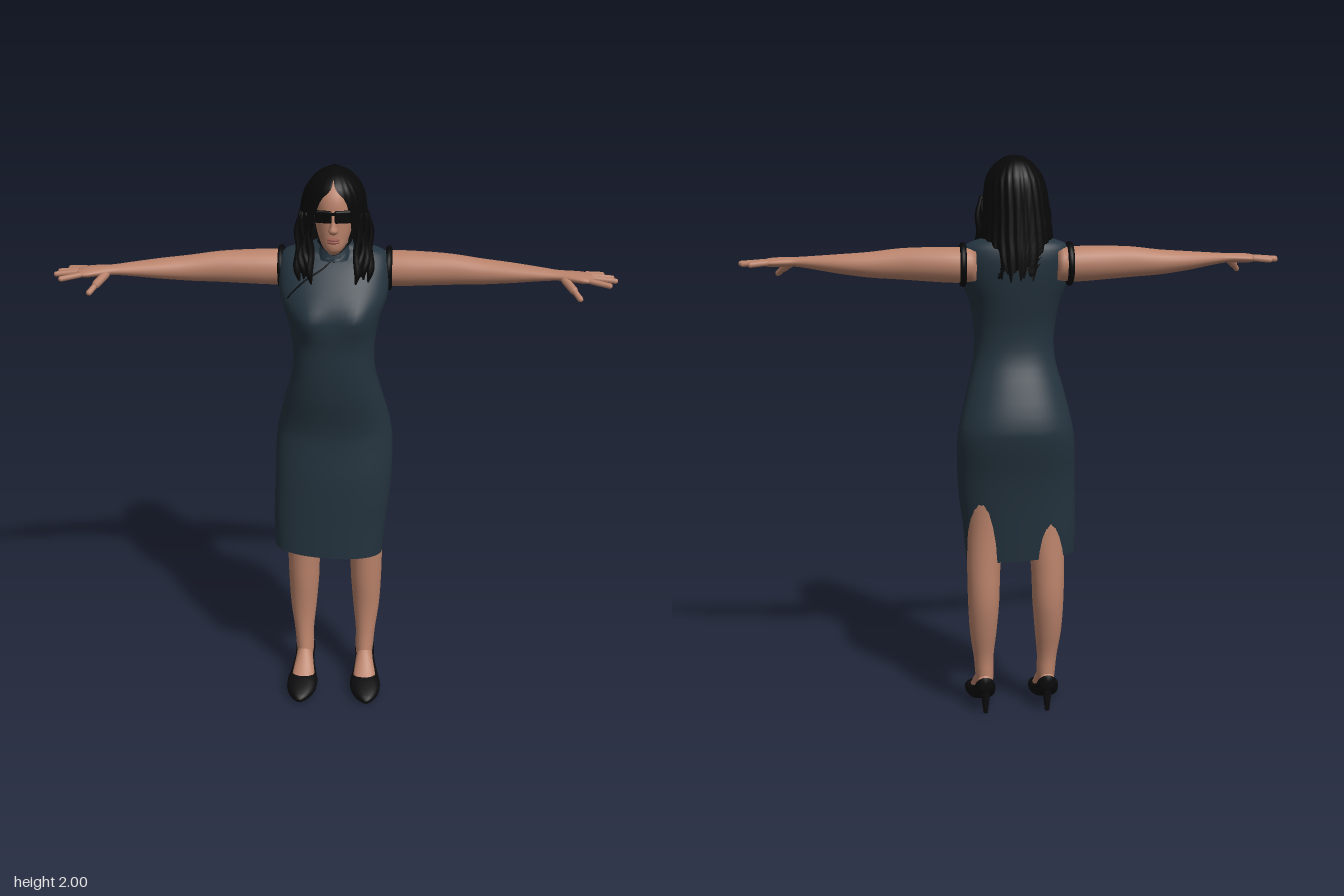
import * as THREE from 'three';
import { mergeVertices } from 'three/addons/utils/BufferGeometryUtils.js';
import { RoundedBoxGeometry } from 'three/addons/geometries/RoundedBoxGeometry.js';

const mat = (name, color, side = THREE.FrontSide) => {
  const m = new THREE.MeshStandardMaterial({ color, side });
  m.name = name;
  return m;
};

// Smoothly interpolates a table of rows by its first column
const smooth = (rows) => {
  const size = rows[0].length - 1;
  const it = new THREE.CubicInterpolant(rows.map((r) => r[0]), rows.flatMap((r) => r.slice(1)), size, new Float32Array(size));
  return (s) => Array.from(it.evaluate(s));
};
const spow = (v, e) => Math.sign(v) * Math.abs(v) ** e;

// Lofts oval sections [y, x0, x1, z0, z1, gap]; the gap opens the ring around angle t0
function loft(rows, { seg = 24, steps = 3, n = 2, t0 = 0, caps = true, bend } = {}) {
  const at = smooth(rows), levels = [], pos = [], idx = [];
  rows.forEach((r, i) => {
    if (i === rows.length - 1) levels.push(r[0]);
    else for (let k = 0; k < steps; k++) levels.push(THREE.MathUtils.lerp(r[0], rows[i + 1][0], k / steps));
  });
  const w = seg + 1;
  levels.forEach((y, i) => {
    const [x0, x1, z0, z1, g = 0] = at(y), gap = Math.max(0, g);
    for (let j = 0; j <= seg; j++) {
      const t = t0 + gap + (2 * Math.PI - 2 * gap) * (j / seg);
      const p = new THREE.Vector3((x0 + x1) / 2 + ((x1 - x0) / 2) * spow(Math.sin(t), 2 / n), y,
        (z0 + z1) / 2 + ((z1 - z0) / 2) * spow(Math.cos(t), 2 / n));
      if (bend) bend(p, t);
      pos.push(p.x, p.y, p.z);
      if (i && j < seg) {
        const a = (i - 1) * w + j, b = i * w + j;
        idx.push(a, a + 1, b + 1, a, b + 1, b);
      }
    }
  });
  if (caps) [0, levels.length - 1].forEach((i) => {
    const [x0, x1, z0, z1] = at(levels[i]), c = pos.length / 3;
    pos.push((x0 + x1) / 2, levels[i], (z0 + z1) / 2);
    for (let j = 0; j < seg; j++) {
      const a = i * w + j;
      i ? idx.push(c, a, a + 1) : idx.push(c, a + 1, a);
    }
  });
  let geo = new THREE.BufferGeometry();
  geo.setAttribute('position', new THREE.Float32BufferAttribute(pos, 3));
  geo.setIndex(idx);
  geo = mergeVertices(geo, 1e-5);
  geo.computeVertexNormals();
  return geo;
}
// Lofts along x from [x, y0, y1, z0, z1] and along z from [z, x0, x1, y0, y1]
const loftX = (rows, o) => loft(rows.map(([x, a, b, c, d]) => [x, -b, -a, c, d]), o).rotateZ(-Math.PI / 2);
const loftZ = (rows, o) => loft(rows.map(([z, a, b, c, d]) => [z, a, b, -d, -c]), o).rotateX(Math.PI / 2);

const V = (a) => new THREE.Vector3(...a);
const tube = (pts, r, closed = false, seg = 32) =>
  new THREE.TubeGeometry(new THREE.CatmullRomCurve3(pts.map(V), closed), seg, r, 8, closed);
function limb(a, b, r) {
  const d = V(b).sub(V(a)), len = d.length();
  const geo = new THREE.CapsuleGeometry(r, Math.max(len - r, 0.001), 4, 8);
  geo.applyQuaternion(new THREE.Quaternion().setFromUnitVectors(new THREE.Vector3(0, 1, 0), d.normalize()));
  return geo.translate((a[0] + b[0]) / 2, (a[1] + b[1]) / 2, (a[2] + b[2]) / 2);
}
function mirrored(geo) {
  const g = geo.clone(), ix = g.index.array;
  for (const key of ['position', 'normal']) {
    const at = g.attributes[key];
    for (let i = 0; i < at.count; i++) at.setX(i, -at.getX(i));
  }
  for (let i = 0; i < ix.length; i += 3) [ix[i + 1], ix[i + 2]] = [ix[i + 2], ix[i + 1]];
  return g;
}

export function createModel() {
  const model = new THREE.Group();
  model.name = 'woman';
  const skin = mat('skin', 0xb9826a), cloth = mat('dress cloth', 0x24333e, THREE.DoubleSide);
  const trim = mat('black trim', 0x07080a), black = mat('hair black', 0x080808, THREE.DoubleSide);
  const leather = mat('shoe leather', 0x0b0b0d), lens = mat('dark lens', 0x050506), lip = mat('lips', 0x95554a);
  const add = (name, geo, m) => {
    const mesh = new THREE.Mesh(geo, m);
    mesh.name = name;
    model.add(mesh);
  };
  const pair = (name, geo, m) => {
    add(name + 'Left', geo, m);
    add(name + 'Right', mirrored(geo), m);
  };

  // Dress with a slit on the right side of the skirt
  const dressRows = [
    [0.58, -0.217, 0.175, -0.108, 0.1, 0.14], [0.7, -0.22, 0.187, -0.12, 0.1, 0.07],
    [0.8, -0.217, 0.2, -0.131, 0.1, 0], [0.9, -0.213, 0.206, -0.147, 0.098, 0],
    [1.0, -0.21, 0.207, -0.172, 0.09, 0], [1.07, -0.2, 0.198, -0.18, 0.09, 0],
    [1.2, -0.17, 0.165, -0.135, 0.123, 0], [1.3, -0.145, 0.142, -0.092, 0.138, 0],
    [1.4, -0.145, 0.14, -0.088, 0.143, 0], [1.5, -0.165, 0.158, -0.108, 0.152, 0],
    [1.56, -0.185, 0.18, -0.12, 0.135, 0], [1.63, -0.19, 0.185, -0.13, 0.09, 0],
    [1.68, -0.185, 0.18, -0.125, 0.05, 0], [1.705, -0.165, 0.16, -0.11, 0.025, 0],
    [1.725, -0.1, 0.095, -0.09, 0.022, 0], [1.74, -0.06, 0.055, -0.075, 0.025, 0]];
  add('dress', loft(dressRows, {
    seg: 56, n: 2.25, t0: -Math.PI / 2, caps: false,
    bend: (p) => {
      if (p.y < 0.7) p.y -= 0.1 * (0.7 - p.y) * (p.x / 0.2 + 0.1);
      if (p.z > 0) p.z += 0.02 * Math.exp(-(((Math.abs(p.x) - 0.085) / 0.045) ** 2) - ((p.y - 1.505) / 0.05) ** 2);
    },
  }), cloth);

  // Stand collar, its piping and the slanted closure
  add('collar', loft([[1.69, -0.062, 0.062, -0.085, 0.06], [1.72, -0.057, 0.057, -0.08, 0.052], [1.745, -0.053, 0.053, -0.076, 0.046]],
    { caps: false, bend: (p) => { if (p.z > 0.02 && p.y > 1.7) p.y -= 0.025 * Math.max(0, 1 - Math.abs(p.x) / 0.04); } }), cloth);
  const ring = [...Array(16)].map((_, i) => i * Math.PI / 8);
  add('collarPiping', tube(ring.map((t) => [0.054 * Math.sin(t), 1.744 - 0.03 * Math.max(0, Math.cos(t)) ** 4, -0.014 + 0.063 * Math.cos(t)]), 0.004, true), trim);
  const dressAt = smooth(dressRows);
  const onDress = (x, y) => {
    const [x0, x1, z0, z1] = dressAt(y), u = Math.abs((2 * x - x0 - x1) / (x1 - x0));
    return [x, y, (z0 + z1) / 2 + ((z1 - z0) / 2) * (1 - u ** 2.25) ** (1 / 2.25)];
  };
  add('closurePiping', tube([onDress(0, 1.695), onDress(-0.04, 1.665), onDress(-0.09, 1.635), onDress(-0.13, 1.6), onDress(-0.155, 1.57)], 0.003), trim);
  pair('armholeTrim', tube(ring.map((t) => [0.184, 1.632 + 0.066 * Math.cos(t), -0.068 + 0.066 * Math.sin(t)]), 0.011, true, 40), trim);

  // Arms with palms, fingers and thumbs
  pair('arm', loftX([
    [0.14, 1.575, 1.685, -0.125, -0.015], [0.2, 1.57, 1.692, -0.129, -0.008], [0.3, 1.575, 1.692, -0.118, -0.004],
    [0.4, 1.582, 1.688, -0.1, -0.002], [0.5, 1.588, 1.676, -0.088, 0.006], [0.6, 1.6, 1.668, -0.07, 0.02],
    [0.7, 1.616, 1.66, -0.036, 0.033], [0.755, 1.623, 1.656, -0.016, 0.042], [0.8, 1.622, 1.655, -0.018, 0.06],
    [0.845, 1.622, 1.651, -0.018, 0.074], [0.868, 1.628, 1.645, -0.008, 0.064]]), skin);
  const fingers = [
    [[0.845, 1.638, -0.01], [0.908, 1.632, -0.022]], [[0.855, 1.639, 0.014], [0.937, 1.632, 0.014]],
    [[0.855, 1.639, 0.038], [0.945, 1.632, 0.046]], [[0.85, 1.637, 0.062], [0.922, 1.627, 0.085]]];
  fingers.forEach(([a, b], i) => pair('finger' + (i + 1), limb(a, b, 0.0095), skin));
  pair('thumbBase', limb([0.77, 1.634, 0.035], [0.803, 1.608, 0.09], 0.014), skin);
  pair('thumbTip', limb([0.798, 1.612, 0.083], [0.822, 1.588, 0.117], 0.01), skin);

  // Legs, feet and heeled shoes
  pair('leg', loft([
    [0.07, 0.088, 0.138, -0.075, 0.03], [0.12, 0.08, 0.145, -0.08, 0.02], [0.2, 0.08, 0.152, -0.08, 0.005],
    [0.3, 0.07, 0.166, -0.104, 0], [0.42, 0.06, 0.173, -0.125, 0.008], [0.55, 0.055, 0.175, -0.12, 0.012],
    [0.7, 0.035, 0.172, -0.112, 0.03], [0.85, 0.02, 0.175, -0.115, 0.05]]), skin);
  pair('foot', loftZ([
    [-0.08, 0.09, 0.137, 0.1, 0.14], [-0.03, 0.086, 0.143, 0.06, 0.15], [0.02, 0.08, 0.148, 0.03, 0.135],
    [0.06, 0.074, 0.158, 0.015, 0.09], [0.11, 0.075, 0.162, 0.01, 0.05]]), skin);
  pair('shoe', loftZ([
    [-0.102, 0.095, 0.132, 0.09, 0.142], [-0.085, 0.08, 0.146, 0.075, 0.135], [-0.03, 0.08, 0.152, 0.045, 0.098],
    [0.03, 0.069, 0.166, 0.01, 0.068], [0.08, 0.062, 0.175, 0.003, 0.066], [0.13, 0.07, 0.172, 0.002, 0.052],
    [0.17, 0.095, 0.152, 0.004, 0.036], [0.187, 0.115, 0.135, 0.01, 0.025]], { n: 2.4 }), leather);
  pair('heel', new THREE.CylinderGeometry(0.02, 0.008, 0.1, 12).rotateX(0.08).translate(0.113, 0.05, -0.079), leather);

  // Neck, head and face
  add('neck', loft([[1.67, -0.05, 0.05, -0.075, 0.03], [1.74, -0.045, 0.045, -0.065, 0.04], [1.81, -0.045, 0.045, -0.06, 0.05]]), skin);
  add('head', loft([
    [1.726, -0.018, 0.018, 0.04, 0.092], [1.745, -0.036, 0.036, 0, 0.107], [1.78, -0.053, 0.053, -0.05, 0.109],
    [1.82, -0.063, 0.063, -0.08, 0.11], [1.87, -0.067, 0.067, -0.09, 0.11], [1.92, -0.064, 0.064, -0.09, 0.102],
    [1.96, -0.05, 0.05, -0.075, 0.07], [1.98, -0.025, 0.025, -0.045, 0.03]], { n: 2.2, seg: 32 }), skin);
  add('nose', loft([[1.8, -0.01, 0.01, 0.09, 0.115], [1.812, -0.017, 0.017, 0.09, 0.134], [1.83, -0.011, 0.011, 0.09, 0.128],
    [1.87, -0.007, 0.007, 0.09, 0.114]], { seg: 12 }), skin);
  for (const [name, y] of [['upperLip', 1.782], ['lowerLip', 1.773]])
    add(name, new THREE.SphereGeometry(1, 16, 10).scale(0.022, 0.0055, 0.009).translate(0, y, 0.107), lip);

  // Sunglasses
  for (const s of [-1, 1]) {
    add('lens', new RoundedBoxGeometry(0.055, 0.042, 0.012, 3, 0.006).rotateY(s * 0.2).translate(s * 0.032, 1.862, 0.116), lens);
    add('temple', new THREE.BoxGeometry(0.004, 0.008, 0.1).translate(s * 0.068, 1.873, 0.06), lens);
  }
  add('bridge', new THREE.BoxGeometry(0.02, 0.007, 0.008).translate(0, 1.872, 0.12), lens);

  // Long hair, open around the face, with wavy strands and a ragged lower edge
  add('hair', loft([
    [1.6, -0.105, 0.1, -0.146, 0.06, 2.0], [1.66, -0.127, 0.115, -0.146, 0.09, 1.2], [1.72, -0.13, 0.118, -0.142, 0.1, 0.74],
    [1.8, -0.121, 0.11, -0.14, 0.108, 0.6], [1.87, -0.112, 0.106, -0.138, 0.114, 0.53], [1.92, -0.1, 0.098, -0.13, 0.116, 0.36],
    [1.95, -0.083, 0.083, -0.113, 0.108, 0.1], [1.98, -0.054, 0.054, -0.08, 0.075, 0], [1.998, -0.018, 0.018, -0.035, 0.03, 0]], {
    seg: 90, caps: false,
    bend: (p, t) => {
      const k = 1 + 0.022 * Math.sin(26 * t + 9 * p.y) * Math.min(1, (2 - p.y) * 12);
      p.x *= k;
      p.z *= k;
      if (p.y < 1.64) p.y += 0.018 * Math.sin(17 * t) + 0.008 * Math.sin(41 * t);
    },
  }), black);
  add('crown', new THREE.SphereGeometry(1, 24, 12).scale(0.045, 0.018, 0.05).translate(0, 1.981, -0.003), black);
  // Front locks falling over the shoulders
  for (let i = 0; i < 4; i++) {
    const x = 0.076 + i * 0.014, end = 1.625 + 0.012 * ((i * 2) % 3), z = 0.09 - i * 0.008;
    pair('lock' + i, loft([
      [end, x - 0.003, x + 0.003, z, z + 0.008], [end + 0.04, x - 0.013, x + 0.013, z - 0.016, z + 0.012],
      [1.73, x - 0.008, x + 0.016, z - 0.045, z - 0.005], [1.79, x - 0.008, x + 0.012, z - 0.05, z - 0.012],
      [1.86, x - 0.008, x + 0.004, z - 0.04, z - 0.014]],
    { seg: 10, bend: (p) => { p.x += 0.005 * Math.sin(p.y * 50 + i * 2); } }), black);
  }
  return model;
}
